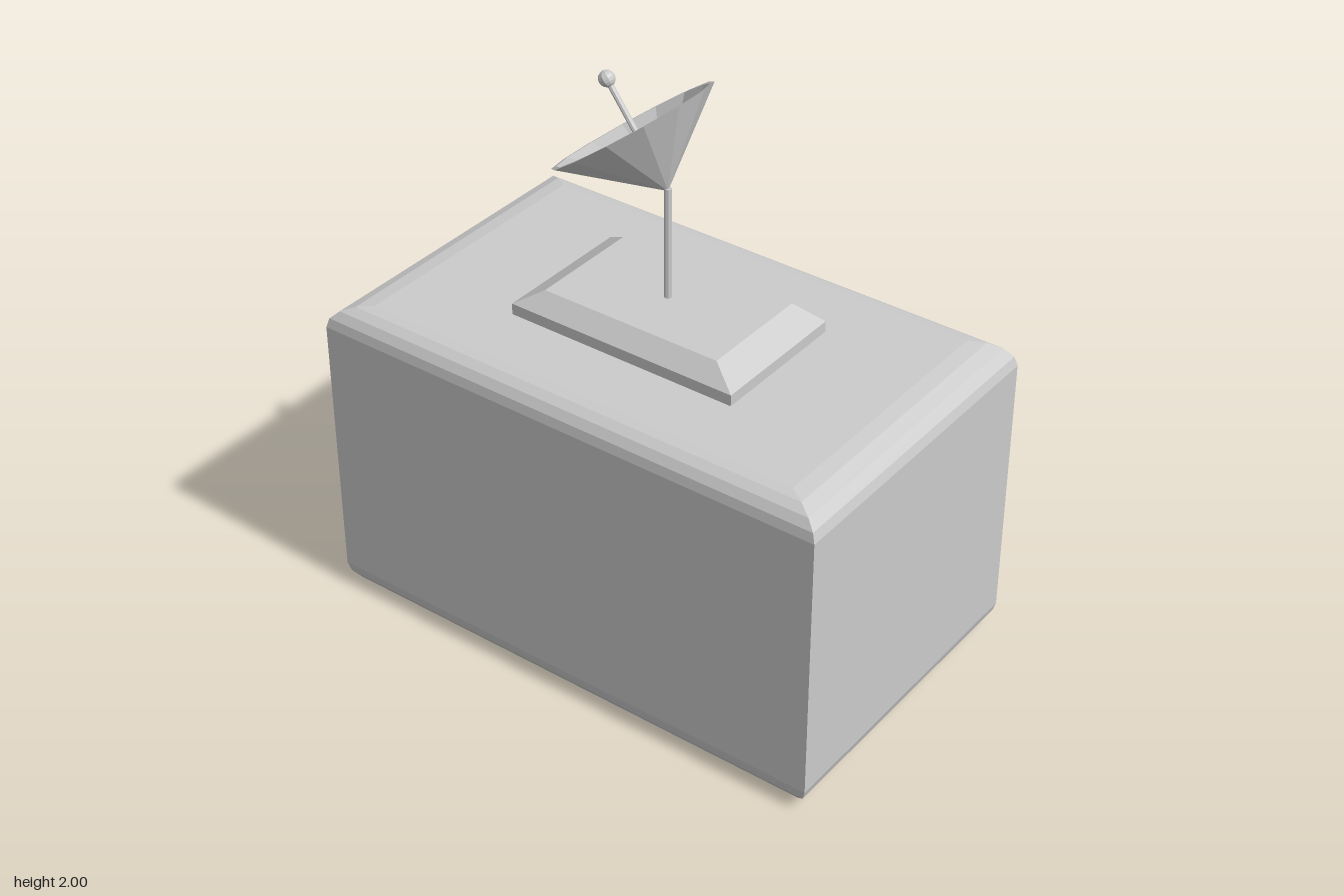
import * as THREE from 'three';

const material = new THREE.MeshStandardMaterial({ color: 0xcccccc, flatShading: true });

function part(name, geometry, x = 0, y = 0, z = 0) {
  const mesh = new THREE.Mesh(geometry, material);
  mesh.name = name;
  mesh.position.set(x, y, z);
  return mesh;
}

// Closed solid through a stack of rectangles { x, back, front, y }, bottom to top
function loft(rings) {
  const positions = [];
  const index = [];
  for (const { x, back, front, y } of rings) {
    positions.push(-x, y, front, x, y, front, x, y, back, -x, y, back);
  }
  for (let r = 0; r < rings.length - 1; r++) {
    for (let i = 0; i < 4; i++) {
      const a = r * 4 + i;
      const b = r * 4 + (i + 1) % 4;
      index.push(a, b, b + 4, a, b + 4, a + 4);
    }
  }
  const t = (rings.length - 1) * 4;
  index.push(0, 2, 1, 0, 3, 2, t, t + 1, t + 2, t, t + 2, t + 3);
  const geometry = new THREE.BufferGeometry();
  geometry.setAttribute('position', new THREE.Float32BufferAttribute(positions, 3));
  geometry.setIndex(index);
  const flat = geometry.toNonIndexed();
  flat.computeVertexNormals();
  return flat;
}

// Cabin: rounded top and bottom edges, but the back wall runs straight to the ground
function bodyGeometry() {
  const steps = 4;
  const rings = [];
  for (let i = 0; i <= steps; i++) {
    const a = (1 - i / steps) * Math.PI / 2;
    const inset = 1 - Math.cos(a);
    rings.push({ x: 0.965 - 0.14 * inset, back: -0.56, front: 0.6 - 0.09 * inset, y: 0.09 * (1 - Math.sin(a)) });
  }
  for (let i = 0; i <= steps; i++) {
    const a = (i / steps) * Math.PI / 2;
    const inset = 1 - Math.cos(a);
    rings.push({ x: 0.965 - 0.14 * inset, back: -0.56 + 0.09 * inset, front: 0.6 - 0.09 * inset, y: 1.07 + 0.09 * Math.sin(a) });
  }
  return loft(rings);
}

function polygon(points, Type = THREE.Shape) {
  return new Type(points.map(([x, y]) => new THREE.Vector2(x, y)));
}

const rectangle = (w, h) => [[-w, -h], [w, -h], [w, h], [-w, h]];
const extrude = (shape) => new THREE.ExtrudeGeometry(shape, { depth: 0.05, bevelEnabled: false });

export function createModel() {
  const model = new THREE.Group();
  model.name = 'cabinWithDish';

  model.add(part('body', bodyGeometry()));

  // Bevelled plate on the roof
  model.add(part('roofPlate', loft([
    { x: 0.435, back: -0.24, front: 0.28, y: 1.15 },
    { x: 0.435, back: -0.24, front: 0.28, y: 1.2 },
    { x: 0.34, back: -0.185, front: 0.225, y: 1.26 },
  ])));

  // Mast
  model.add(part('mast', new THREE.CylinderGeometry(0.013, 0.013, 0.41, 8), 0, 1.455, 0.02));

  // Dish with its feed, tilted towards the right
  const dish = new THREE.Group();
  dish.name = 'dish';
  dish.position.set(0, 1.65, 0.02);
  dish.rotation.z = 0.635;
  const profile = [[0, 0], [0.29, 0.232], [0.272, 0.232], [0, 0.015]].map(([x, y]) => new THREE.Vector2(x, y));
  dish.add(part('reflector', new THREE.LatheGeometry(profile, 14)));
  dish.add(part('feedRod', new THREE.CylinderGeometry(0.01, 0.01, 0.38, 8), 0, 0.2, 0));
  dish.add(part('feedBall', new THREE.SphereGeometry(0.028, 10, 8), 0, 0.397, 0));
  model.add(dish);

  // Window frames on the back wall
  const windowShape = polygon(rectangle(0.292, 0.135));
  windowShape.holes.push(polygon(rectangle(0.24, 0.085), THREE.Path));
  for (const side of [-1, 1]) {
    model.add(part(side > 0 ? 'leftWindowFrame' : 'rightWindowFrame', extrude(windowShape), side * 0.582, 0.585, -0.6));
  }

  // Door frame: open at the bottom, clipped top corners
  const doorShape = polygon([
    [-0.195, 0], [-0.162, 0], [-0.162, 0.735], [0.162, 0.735], [0.162, 0], [0.195, 0],
    [0.195, 0.76], [0.175, 0.778], [-0.175, 0.778], [-0.195, 0.76],
  ]);
  model.add(part('doorFrame', extrude(doorShape), 0, 0, -0.6));

  return model;
}
